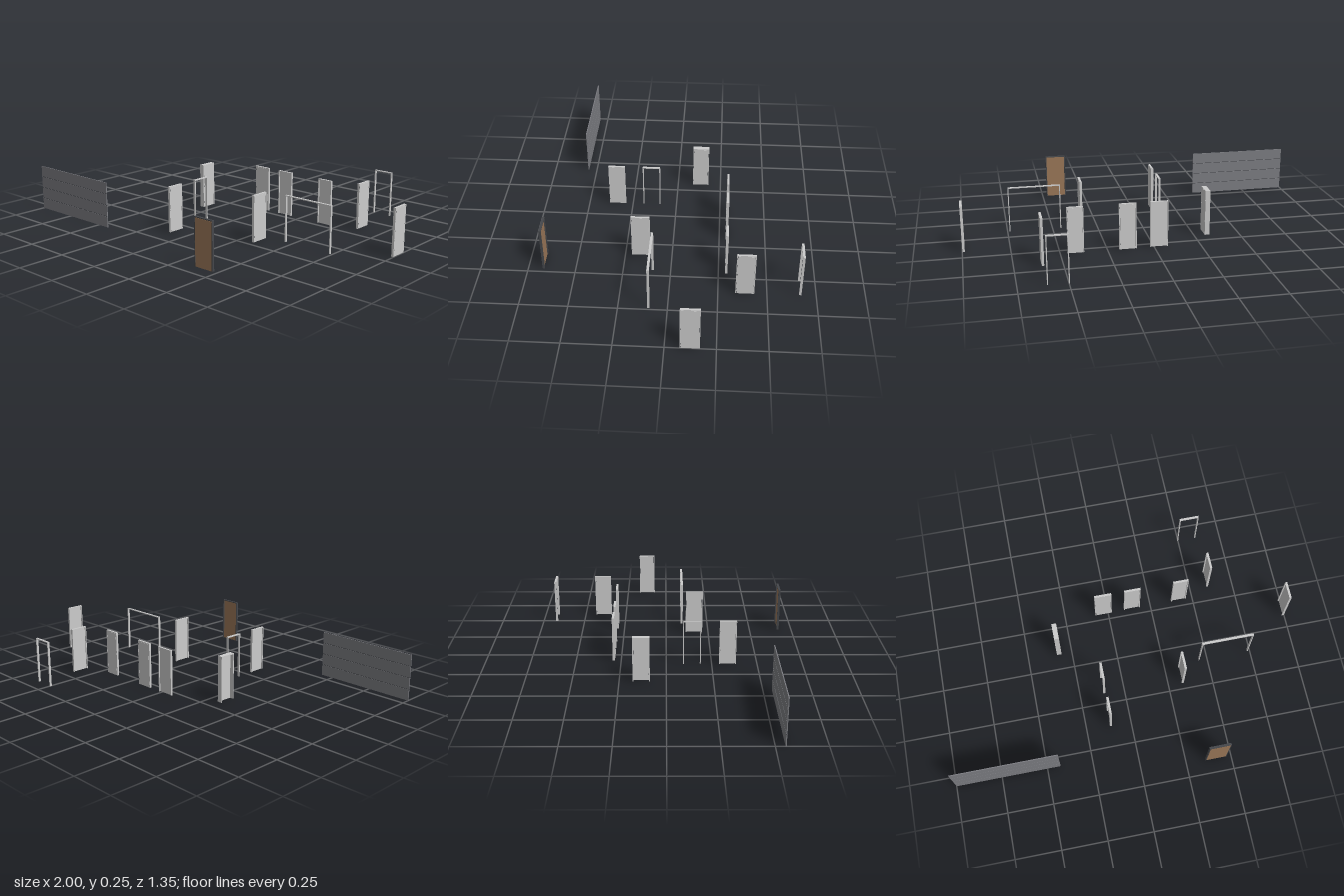
import * as THREE from 'three';

const H = 0.253; // common height
const JAMB = 0.005; // face width of the frame members
const grey = new THREE.MeshStandardMaterial({ color: 0xcccccc });
const dark = new THREE.MeshStandardMaterial({ color: 0x45474b });
const slate = new THREE.MeshStandardMaterial({ color: 0x7c7d82 });
const brown = new THREE.MeshStandardMaterial({ color: 0x9a7758 });

function box(parent, name, size, pos, material = grey) {
  const mesh = new THREE.Mesh(new THREE.BoxGeometry(...size), material);
  mesh.name = name;
  mesh.position.set(...pos);
  parent.add(mesh);
}

// Two jambs and a head, spanning local x, centred on the origin
function frame(name, width, depth, material = grey) {
  const g = new THREE.Group();
  g.name = name;
  for (const s of [-1, 1])
    box(g, 'jamb', [JAMB, H, depth], [s * (width - JAMB) / 2, H / 2, 0], material);
  box(g, 'head', [width - 2 * JAMB, JAMB, depth], [0, H - JAMB / 2, 0], material);
  return g;
}

// Framed door: leaf flush with local +z, three hinges at local -x
function door(name, width, depth, leafMaterial = grey, frameMaterial = grey) {
  const g = frame(name, width, depth, frameMaterial);
  const gap = 0.0006, leafDepth = 0.0065;
  const leafH = H - JAMB - 2 * gap;
  box(g, 'leaf', [width - 2 * JAMB - 2 * gap, leafH, leafDepth],
    [0, gap + leafH / 2, (depth - leafDepth) / 2], leafMaterial);
  for (const y of [0.03, 0.127, 0.233]) {
    const hinge = new THREE.Mesh(new THREE.CylinderGeometry(0.001, 0.001, 0.01, 10), dark);
    hinge.name = 'hinge';
    hinge.position.set(-width / 2 + JAMB * 0.7, y, depth / 2);
    g.add(hinge);
  }
  return g;
}

// Sectional door of four stacked panels with thin grooves between them
function garageDoor(width) {
  const g = new THREE.Group();
  g.name = 'garageDoor';
  const n = 4, groove = 0.003, panelH = (H - groove * (n - 1)) / n;
  for (let i = 0; i < n; i++) {
    const y = i * (panelH + groove);
    box(g, 'panel', [width, panelH, 0.005], [0, y + panelH / 2, 0], slate);
    if (i < n - 1) box(g, 'groove', [width, groove, 0.002], [0, y + panelH + groove / 2, 0], dark);
  }
  return g;
}

export function createModel() {
  const model = new THREE.Group();
  model.name = 'doorSet';
  const place = (part, x, z, turn = 0) => {
    part.position.set(x, 0, z);
    part.rotation.y = turn;
    model.add(part);
  };
  const D = 0.0125;

  // Garage door and coloured entrance door
  place(garageDoor(0.573), -0.7135, 0.55);
  place(door('entranceDoor', 0.118, D, brown, dark), 0.416, 0.669);

  // Open frames
  place(frame('wideOpening', 0.288, D), 0.595, 0.095);
  place(frame('backOpening', 0.11, D), 0.551, -0.669);
  place(frame('sideOpening', 0.098, D), -0.114, 0.141, Math.PI / 2);

  // Row of doors facing front or back: centre x, width, turn
  for (const [x, w, turn] of [[-0.027, 0.097, 0], [0.141, 0.093, Math.PI], [0.418, 0.087, Math.PI]])
    place(door('rowDoor', w, D), x, -0.291, turn);

  // Doors facing the left side: centre x, centre z, width, depth
  for (const [x, z, w, d] of [
    [-0.114, 0.337, 0.093, D], [0.332, 0.166, 0.099, D], [0.993, -0.123, 0.097, D],
    [0.603, -0.387, 0.097, D], [-0.323, -0.133, 0.091, 0.027],
  ]) place(door('sideDoor', w, d), x, z, Math.PI / 2);

  return model;
}
